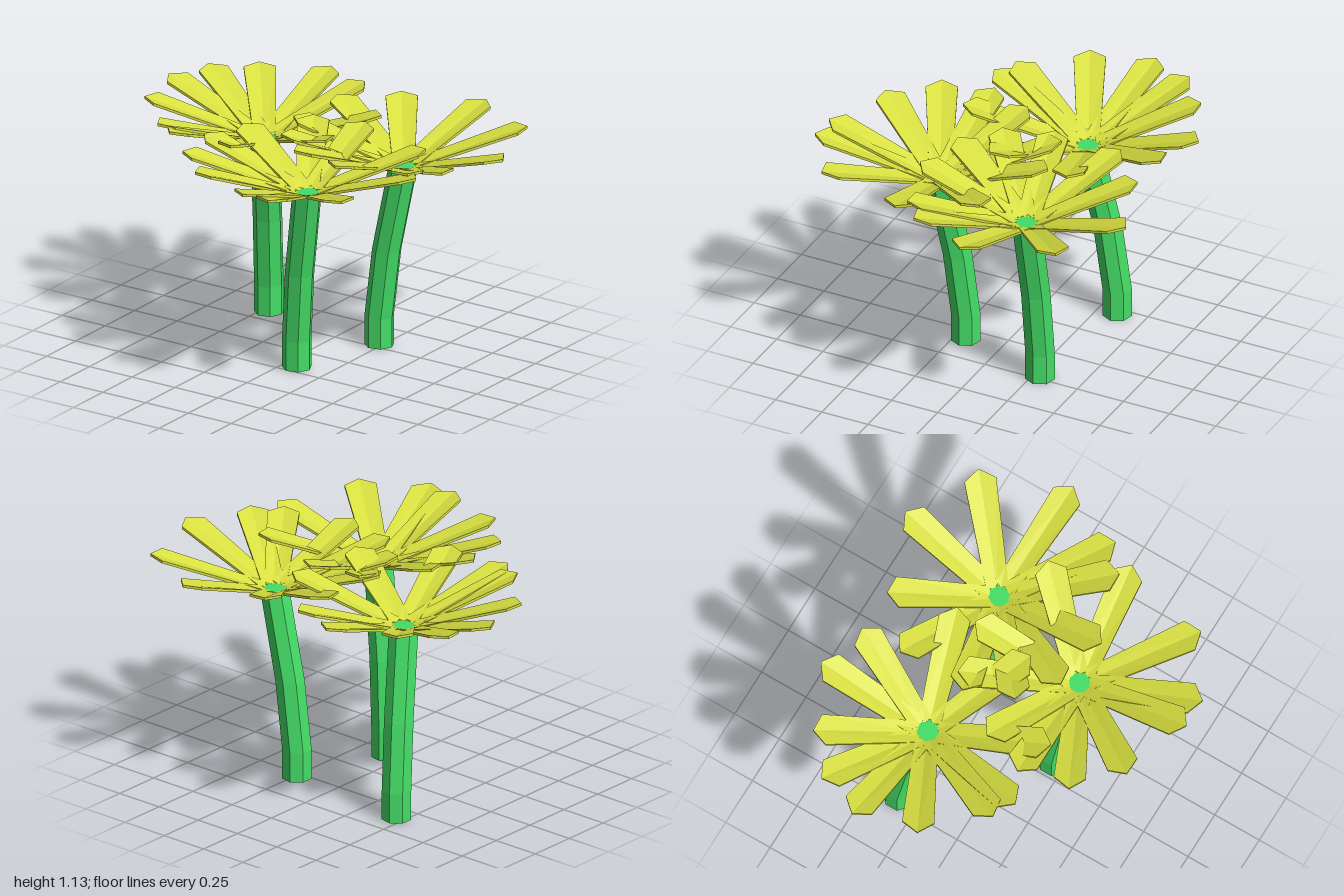
import * as THREE from 'three';

const green = new THREE.MeshStandardMaterial({ color: 0x44dd66, flatShading: true });
const yellow = new THREE.MeshStandardMaterial({ color: 0xd8e040, flatShading: true });

const LEVELS = [0, 0.15, 0.5, 0.955];

// Each flower: stem centre [x, z] at each level, and petal tips [x, z]
const FLOWERS = [
  {
    stem: [[-0.457, -0.355], [-0.457, -0.355], [-0.437, -0.315], [-0.395, -0.23]],
    tips: [[-0.41, -0.82], [-0.73, -0.67], [-0.16, -0.74], [-0.92, -0.51], [-1.0, -0.29], [-0.92, 0.03],
      [-0.66, 0.3], [-0.55, 0.36], [-0.2, 0.35], [0.14, 0.03], [0.17, -0.4]],
  },
  {
    stem: [[0.233, -0.29], [0.233, -0.29], [0.277, -0.29], [0.375, -0.29]],
    tips: [[0.46, -0.87], [0.83, -0.68], [0.99, -0.24], [0.06, -0.73], [-0.17, -0.52], [-0.18, -0.16],
      [0.85, 0.08], [0.72, 0.18], [0.37, 0.29], [0.09, 0.23], [-0.09, 0.08]],
  },
  {
    stem: [[0.08, 0.19], [0.08, 0.19], [0.115, 0.217], [0.195, 0.27]],
    tips: [[0.15, -0.29], [0.6, -0.15], [0.79, 0.21], [0.67, 0.67], [0.37, 0.86], [0.22, 0.86],
      [-0.14, 0.74], [-0.35, 0.54], [-0.4, 0.28], [-0.32, 0.06], [-0.11, -0.23]],
  },
];

// Seven-sided stem whose rings follow the bend
function makeStem(path) {
  const geo = new THREE.CylinderGeometry(0.073, 0.073, 3, 7, 3).rotateY(Math.PI / 2);
  const p = geo.attributes.position;
  for (let i = 0; i < p.count; i++) {
    const k = Math.round(p.getY(i) + 1.5);
    p.setXYZ(i, p.getX(i) + path[k][0], LEVELS[k], p.getZ(i) + path[k][1]);
  }
  geo.computeVertexNormals();
  const mesh = new THREE.Mesh(geo, green);
  mesh.name = 'stem';
  return mesh;
}

// Thin petal along +z: narrow root, wide shoulders, pointed tip, slight groove, rising outward
function makePetalGeometry() {
  const geo = new THREE.BoxGeometry(2, 0.014, 1, 2, 1, 1);
  const p = geo.attributes.position;
  for (let i = 0; i < p.count; i++) {
    const side = Math.round(p.getX(i));
    const outer = p.getZ(i) > 0;
    const z = outer ? (side ? 0.535 : 0.59) : 0.045;
    const y = 0.928 + 0.335 * z + 0.014 * Math.abs(side) + p.getY(i);
    p.setXYZ(i, side * (outer ? 0.078 : 0.055), y, z);
  }
  geo.computeVertexNormals();
  return geo;
}

export function createModel() {
  const model = new THREE.Group();
  model.name = 'flowers';
  const petalGeo = makePetalGeometry();
  for (const { stem, tips } of FLOWERS) {
    const flower = new THREE.Group();
    flower.name = 'flower';
    flower.add(makeStem(stem));

    // Bowl of petals around the stem top
    const petals = new THREE.Group();
    petals.name = 'petals';
    const [cx, cz] = stem[3];
    petals.position.set(cx, 0, cz);
    for (const [x, z] of tips) {
      const petal = new THREE.Mesh(petalGeo, yellow);
      petal.name = 'petal';
      petal.rotation.y = Math.atan2(x - cx, z - cz);
      petal.scale.z = Math.hypot(x - cx, z - cz) / 0.59;
      petals.add(petal);
    }
    flower.add(petals);
    model.add(flower);
  }
  return model;
}
